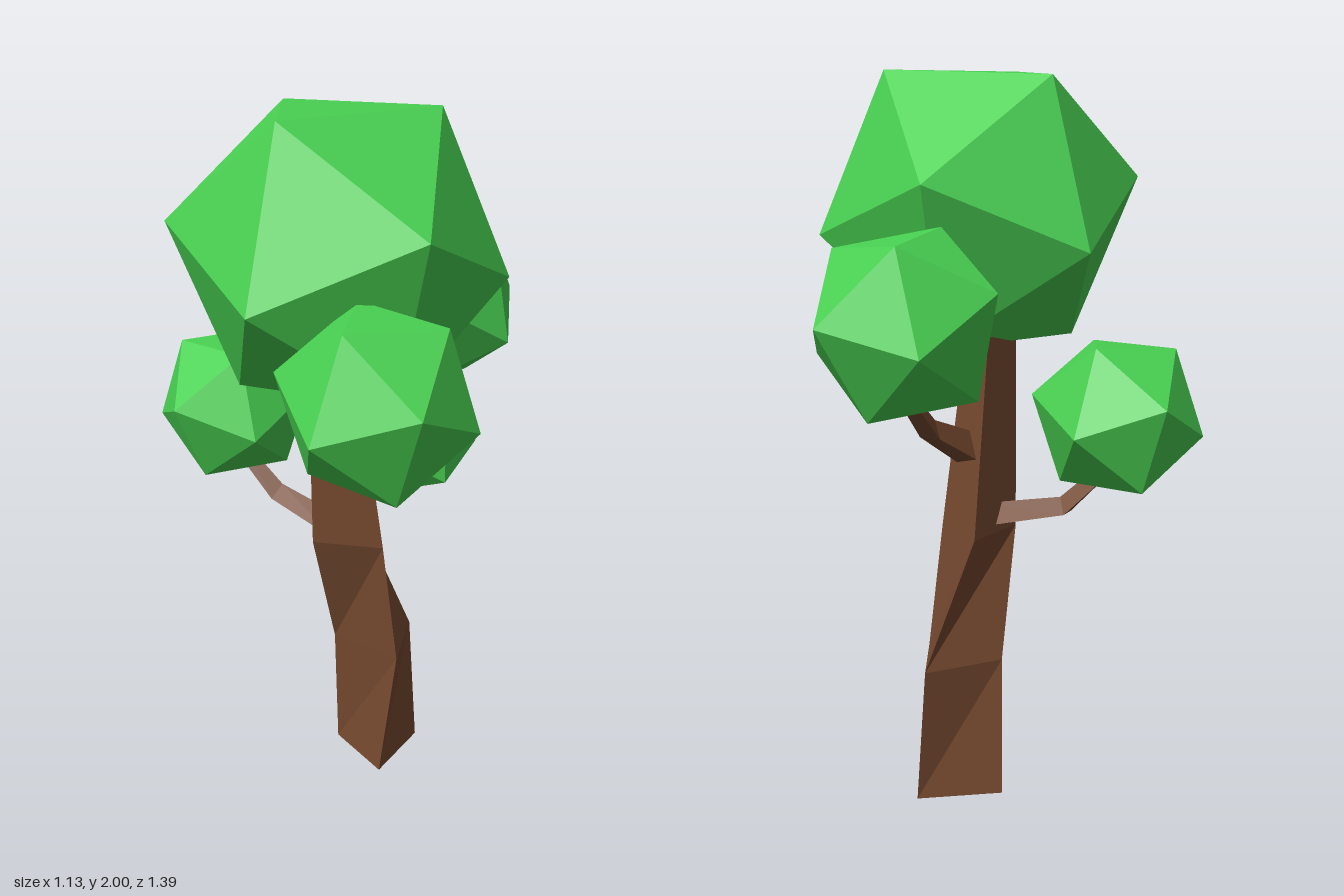
import * as THREE from 'three';

const V = (a) => new THREE.Vector3(...a);

// Three-sided loft through rings of [x, y, z, radius, angle in degrees];
// rings lie flat when upright, otherwise square to the path.
function loft(rings, upright) {
  const centres = rings.map((r) => V(r));
  const pos = [];
  const idx = [];
  rings.forEach(([, , , radius, angle = 0], i) => {
    const axis = new THREE.Vector3(0, 1, 0);
    const u = new THREE.Vector3(0, 0, 1);
    if (!upright) {
      axis.subVectors(centres[Math.min(i + 1, rings.length - 1)], centres[Math.max(i - 1, 0)]).normalize();
      u.set(0, 1, 0).addScaledVector(axis, -axis.y).normalize();
    }
    const v = new THREE.Vector3().crossVectors(axis, u);
    for (let j = 0; j < 3; j++) {
      const t = THREE.MathUtils.degToRad(angle + j * 120);
      const p = centres[i].clone()
        .addScaledVector(u, radius * Math.cos(t))
        .addScaledVector(v, radius * Math.sin(t));
      pos.push(p.x, p.y, p.z);
    }
  });
  for (let i = 0; i < rings.length - 1; i++) {
    for (let j = 0; j < 3; j++) {
      const a = i * 3 + j;
      const b = i * 3 + ((j + 1) % 3);
      idx.push(a, b, b + 3, a, b + 3, a + 3);
    }
  }
  const e = (rings.length - 1) * 3;
  idx.push(0, 2, 1, e, e + 1, e + 2); // end caps
  const geo = new THREE.BufferGeometry();
  geo.setAttribute('position', new THREE.Float32BufferAttribute(pos, 3));
  geo.setIndex(idx);
  const flat = geo.toNonIndexed();
  flat.computeVertexNormals();
  return flat;
}

// Rotation basis from one corner direction and a neighbouring corner direction
function basis(corner, neighbour) {
  const a = corner.clone().normalize();
  const b = neighbour.clone().addScaledVector(a, -neighbour.dot(a)).normalize();
  return new THREE.Matrix4().makeBasis(a, b, new THREE.Vector3().crossVectors(a, b));
}

// Twenty-sided leaf clump turned so two of its corners point at the given places
function clump(centre, radius, corner, neighbour) {
  const c = V(centre);
  const phi = (1 + Math.sqrt(5)) / 2;
  const from = basis(V([0, 1, phi]), V([0, -1, phi]));
  const to = basis(V(corner).sub(c), V(neighbour).sub(c));
  return new THREE.IcosahedronGeometry(radius, 0)
    .applyMatrix4(to.multiply(from.transpose()))
    .translate(c.x, c.y, c.z);
}

export function createModel() {
  const group = new THREE.Group();
  const bark = new THREE.MeshStandardMaterial({ color: 0x774a30, flatShading: true });
  bark.name = 'bark brown';
  const leaf = new THREE.MeshStandardMaterial({ color: 0x49d152, flatShading: true });
  leaf.name = 'leaf green';
  const add = (name, geometry, material) => {
    const mesh = new THREE.Mesh(geometry, material);
    mesh.name = name;
    group.add(mesh);
  };

  // Leaning, twisting trunk
  add('trunk', loft([
    [0.022, 0, -0.152, 0.14, -29],
    [0.027, 0.38, -0.14, 0.14, -11],
    [-0.068, 0.74, -0.135, 0.12, 16],
    [-0.135, 1.36, -0.11, 0.075, 16],
  ], true), bark);

  // Branches
  const branches = {
    leftBranch: [[-0.08, 0.95, -0.11, 0.06], [0.14, 1.055, -0.19, 0.035], [0.32, 1.22, -0.28, 0.022]],
    backBranch: [[-0.1, 0.77, -0.13, 0.04], [-0.19, 0.83, -0.36, 0.032], [-0.26, 0.96, -0.47, 0.022]],
    frontBranch: [[-0.13, 1.13, -0.09, 0.06], [-0.24, 1.12, 0.16, 0.045], [-0.31, 1.24, 0.38, 0.025]],
    frontTwig: [[-0.22, 1.13, 0.12, 0.025], [-0.1, 1.17, 0.26, 0.018]],
  };
  for (const [name, rings] of Object.entries(branches)) add(name, loft(rings, false), bark);

  // Crown and the leaf clumps on the branches
  add('crown', new THREE.IcosahedronGeometry(0.4565, 0)
    .rotateX(THREE.MathUtils.degToRad(18.8)).translate(-0.17, 1.633, -0.015), leaf);
  add('frontClump', clump([-0.322, 1.367, 0.433], 0.26, [-0.355, 1.4, 0.69], [-0.46, 1.58, 0.5]), leaf);
  add('leftClump', clump([0.295, 1.367, -0.277], 0.27, [0.563, 1.375, -0.265], [0.42, 1.575, -0.395]), leaf);
  add('backClump', clump([-0.267, 1.096, -0.475], 0.235, [-0.22, 1.145, -0.695], [-0.145, 1.29, -0.515]), leaf);
  add('smallClump', new THREE.IcosahedronGeometry(0.147, 0).translate(-0.095, 1.175, 0.265), leaf);

  return group;
}
